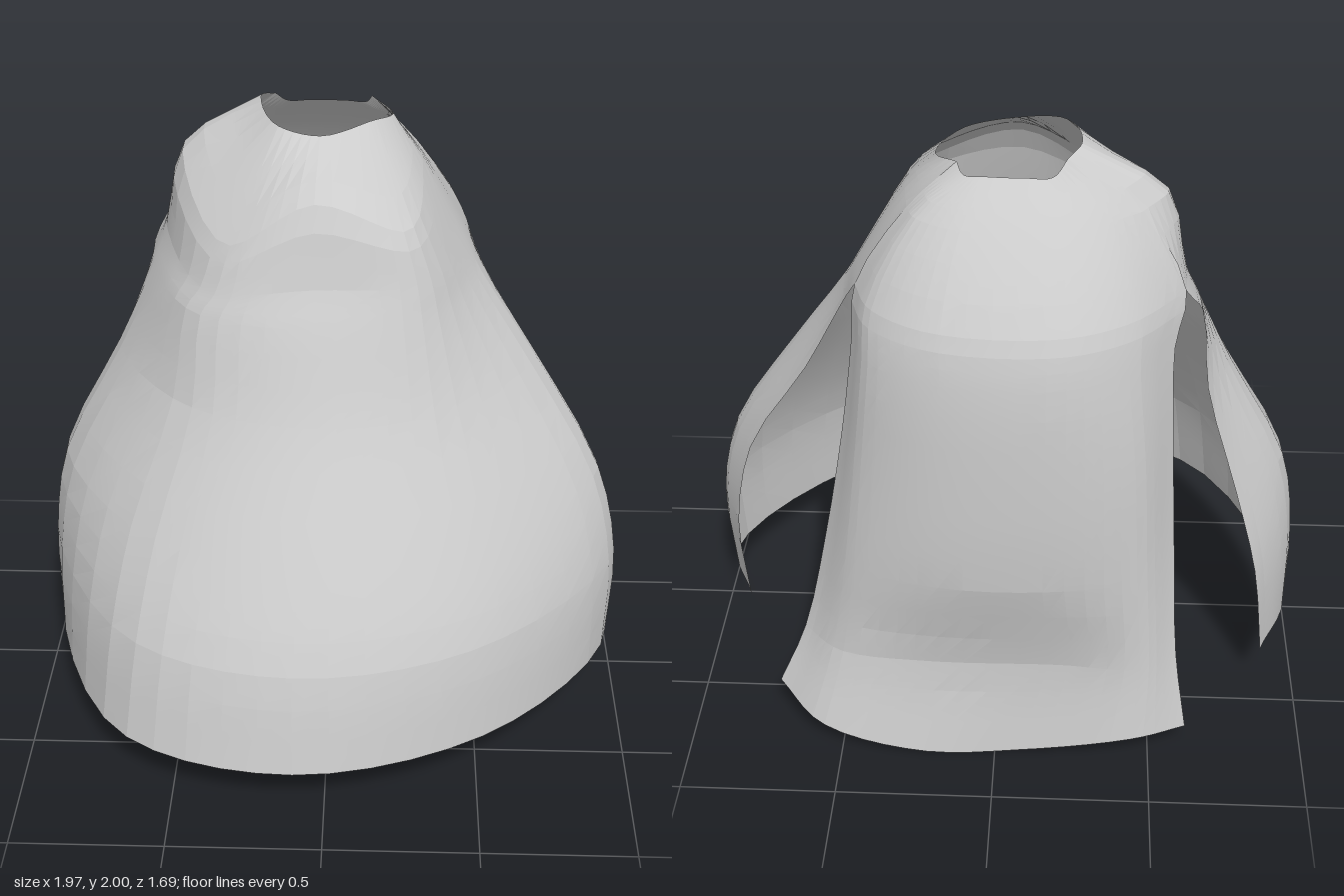
import * as THREE from 'three';
import { mergeVertices, toCreasedNormals } from 'three/addons/utils/BufferGeometryUtils.js';

// Lofts draped cloth through rows running top to bottom.
// Each row is [height, [x, z, lift], ...], ordered counter-clockwise seen from above.
function drape(name, rows, across, perRow = 3) {
  const curves = rows.map(([y, ...pts]) => new THREE.CatmullRomCurve3(
    pts.map(([x, z, lift = 0]) => new THREE.Vector3(x, y + lift, z))));
  const down = (rows.length - 1) * perRow;
  const pos = [], index = [];
  for (let i = 0; i <= across; i++) {
    const column = new THREE.CatmullRomCurve3(curves.map(c => c.getPoint(i / across)));
    for (let j = 0; j <= down; j++) pos.push(...column.getPoint(j / down).toArray());
  }
  for (let i = 0; i < across; i++) {
    for (let j = 0; j < down; j++) {
      const a = i * (down + 1) + j, b = a + down + 1;
      index.push(a, a + 1, b, b, a + 1, b + 1);
    }
  }
  const geo = new THREE.BufferGeometry();
  geo.setAttribute('position', new THREE.Float32BufferAttribute(pos, 3));
  geo.setIndex(index);
  const mesh = new THREE.Mesh(toCreasedNormals(mergeVertices(geo, 1e-4), 0.12),
    new THREE.MeshStandardMaterial({ color: 0xcccccc, side: THREE.DoubleSide }));
  mesh.name = name;
  return mesh;
}

export function createModel() {
  const group = new THREE.Group();
  group.name = 'drapedCape';

  // Front half: neck edge, yoke down to the raised panel crease, then the wide flared skirt
  const front = [
    [1.97, [-.2, -.45, .01], [-.24, -.38, .03], [-.18, -.16, .01], [-.04, -.12, -.01], [.12, -.23], [.19, -.36, -.02], [.12, -.46]],
    [1.82, [-.42, -.46], [-.5, -.36, .02], [-.33, .08, -.15], [-.05, .1], [.24, .09, -.09], [.29, -.25], [.27, -.46]],
    [1.57, [-.56, -.48], [-.56, -.28], [-.38, .13, -.04], [-.05, .19], [.29, .14], [.43, -.2], [.43, -.48]],
    [1.46, [-.62, -.41], [-.6, -.23], [-.43, .14], [-.05, .25], [.31, .17], [.49, -.18], [.48, -.39]],
    [1.18, [-.65, -.4], [-.73, -.2], [-.46, .24], [-.05, .38], [.36, .27], [.68, -.12], [.62, -.33]],
    [.8, [-.76, -.41], [-.93, -.17], [-.58, .43], [-.08, .61], [.45, .46], [.91, -.03], [.84, -.23]],
    [.5, [-.84, -.44], [-.98, -.15], [-.64, .58], [-.1, .77], [.5, .59], [.98, .03], [.9, -.24]],
    [.17, [-.88, -.44], [-.98, -.14], [-.68, .65], [-.1, .845], [.55, .61], [.97, .06], [.88, -.23]],
  ];
  group.add(drape('frontDrape', front, 32));

  // Back yoke: shares its side points with the front down to the tops of the slits
  const yoke = [
    [[.1, -.485, -.03], [.04, -.495, -.03], [-.08, -.5, -.03], [-.16, -.49, -.03]],
    [[.24, -.53], [.12, -.6], [-.12, -.61], [-.28, -.56]],
    [[.37, -.63], [.18, -.76], [-.18, -.78], [-.39, -.68]],
  ].map((pts, i) => [front[i][0], front[i][7], ...pts, front[i][1]]);

  // Back panel: hangs free below the slits to a flared, dipping hem
  group.add(drape('backDrape', [
    ...yoke,
    [1.42, [.44, -.53], [.38, -.68], [.18, -.8], [-.18, -.82], [-.4, -.72], [-.53, -.56]],
    [1.1, [.48, -.56], [.41, -.7], [.19, -.82], [-.18, -.84], [-.43, -.75], [-.54, -.6]],
    [.7, [.55, -.58], [.45, -.72], [.2, -.82], [-.18, -.83], [-.45, -.76], [-.56, -.64]],
    [.35, [.63, -.6], [.5, -.72], [.22, -.76], [-.2, -.76], [-.47, -.77], [-.58, -.69]],
    [0, [.72, -.63, .14], [.57, -.77, .08], [.25, -.81, .01], [-.1, -.79, .01], [-.45, -.81, .09], [-.62, -.73, .08]],
  ], 24));

  return group;
}
